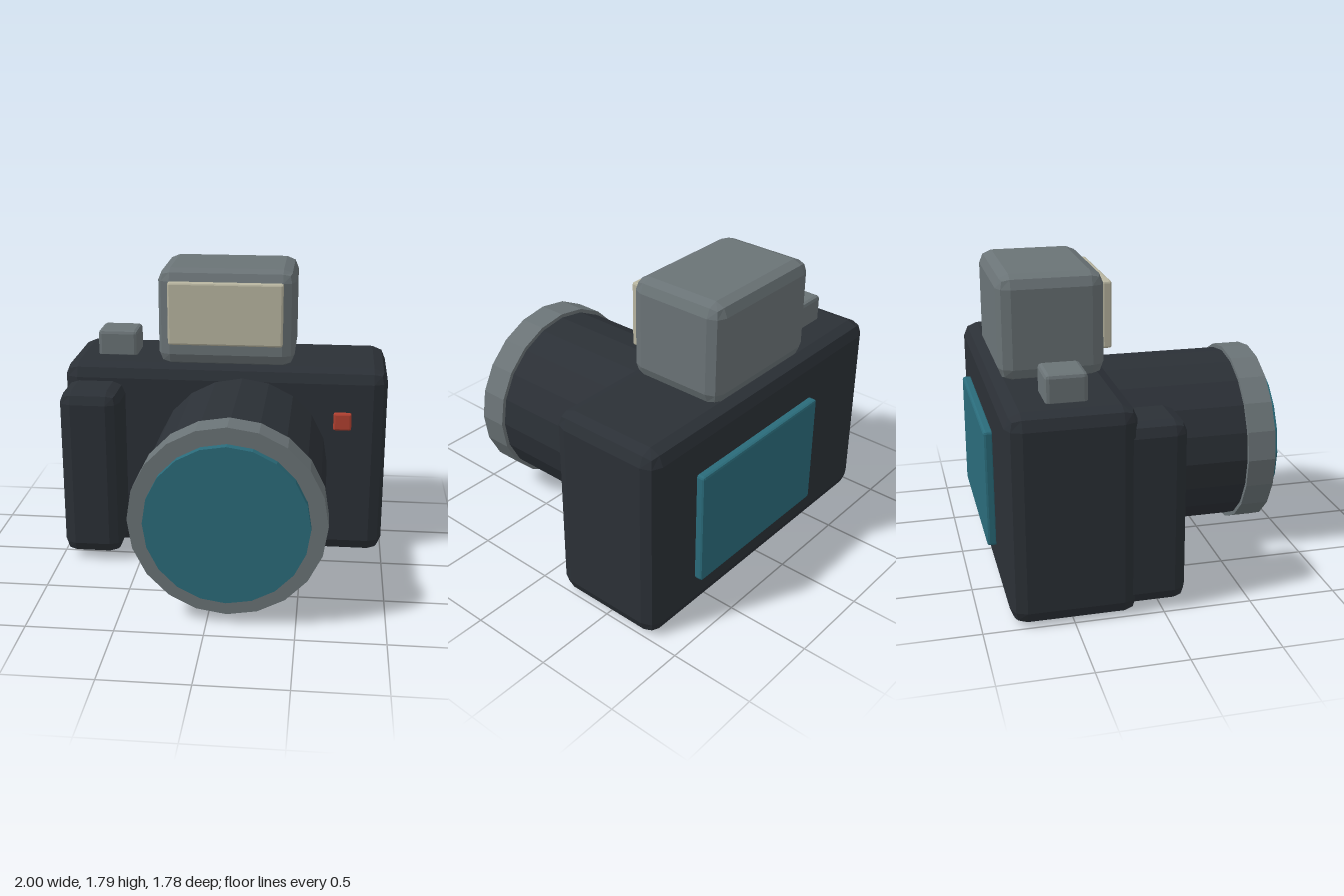
import * as THREE from 'three';

const mat = (color) => new THREE.MeshStandardMaterial({ color, flatShading: true });

// Box given by its limits on each axis, all edges bevelled in two steps of radius r
function bevelBox(name, [x0, x1], [y0, y1], [z0, z1], r, material) {
  const half = new THREE.Vector3(x1 - x0, y1 - y0, z1 - z0).multiplyScalar(0.5);
  const geo = new THREE.BoxGeometry(2, 2, 2, 3, 3, 3);
  const pos = geo.attributes.position;
  const v = new THREE.Vector3();
  const core = new THREE.Vector3();
  for (let i = 0; i < pos.count; i++) {
    v.fromBufferAttribute(pos, i);
    core.set(
      Math.sign(v.x) * (half.x - r),
      Math.sign(v.y) * (half.y - r),
      Math.sign(v.z) * (half.z - r)
    );
    // outer grid lines lean outward, inner ones stay flat
    v.set(Math.trunc(v.x * 1.001), Math.trunc(v.y * 1.001), Math.trunc(v.z * 1.001));
    v.normalize().multiplyScalar(r).add(core);
    pos.setXYZ(i, v.x, v.y, v.z);
  }
  geo.computeVertexNormals();
  const mesh = new THREE.Mesh(geo, material);
  mesh.name = name;
  mesh.position.set((x0 + x1) / 2, (y0 + y1) / 2, (z0 + z1) / 2);
  return mesh;
}

// Twenty-sided cylinder along z on the lens axis
function lensPart(name, radius, z0, z1, material) {
  const geo = new THREE.CylinderGeometry(radius, radius, z1 - z0, 20).rotateX(Math.PI / 2);
  const mesh = new THREE.Mesh(geo, material);
  mesh.name = name;
  mesh.position.set(0.113, 0.605, (z0 + z1) / 2);
  return mesh;
}

export function createModel() {
  const dark = mat(0x2b3036);
  const grey = mat(0x6a7376);
  const teal = mat(0x2a6b7a);
  const cream = mat(0xb8b5a0);
  const red = mat(0xb04030);

  const camera = new THREE.Group();
  camera.name = 'camera';
  camera.add(
    // body and hand grip
    bevelBox('body', [-1, 1], [0, 1.2], [-0.84, -0.135], 0.085, dark),
    bevelBox('grip', [-0.98, -0.615], [0.04, 1.095], [-0.3, 0.14], 0.075, dark),
    // flash on top with its front panel
    bevelBox('flashHousing', [-0.415, 0.425], [1.19, 1.79], [-0.785, -0.185], 0.075, grey),
    bevelBox('flashPanel', [-0.345, 0.355], [1.335, 1.72], [-0.19, -0.135], 0.012, cream),
    // controls and rear screen
    bevelBox('shutterButton', [-0.825, -0.575], [1.18, 1.355], [-0.605, -0.375], 0.022, grey),
    bevelBox('indicatorLight', [0.675, 0.785], [0.835, 0.945], [-0.125, -0.085], 0.012, red),
    bevelBox('rearScreen', [-0.415, 0.64], [0.22, 0.92], [-0.89, -0.83], 0.015, teal),
    // lens
    lensPart('lensBarrel', 0.53, -0.2, 0.7, dark),
    lensPart('lensRing', 0.553, 0.675, 0.843, grey),
    lensPart('lensGlass', 0.46, 0.8, 0.89, teal)
  );
  return camera;
}
